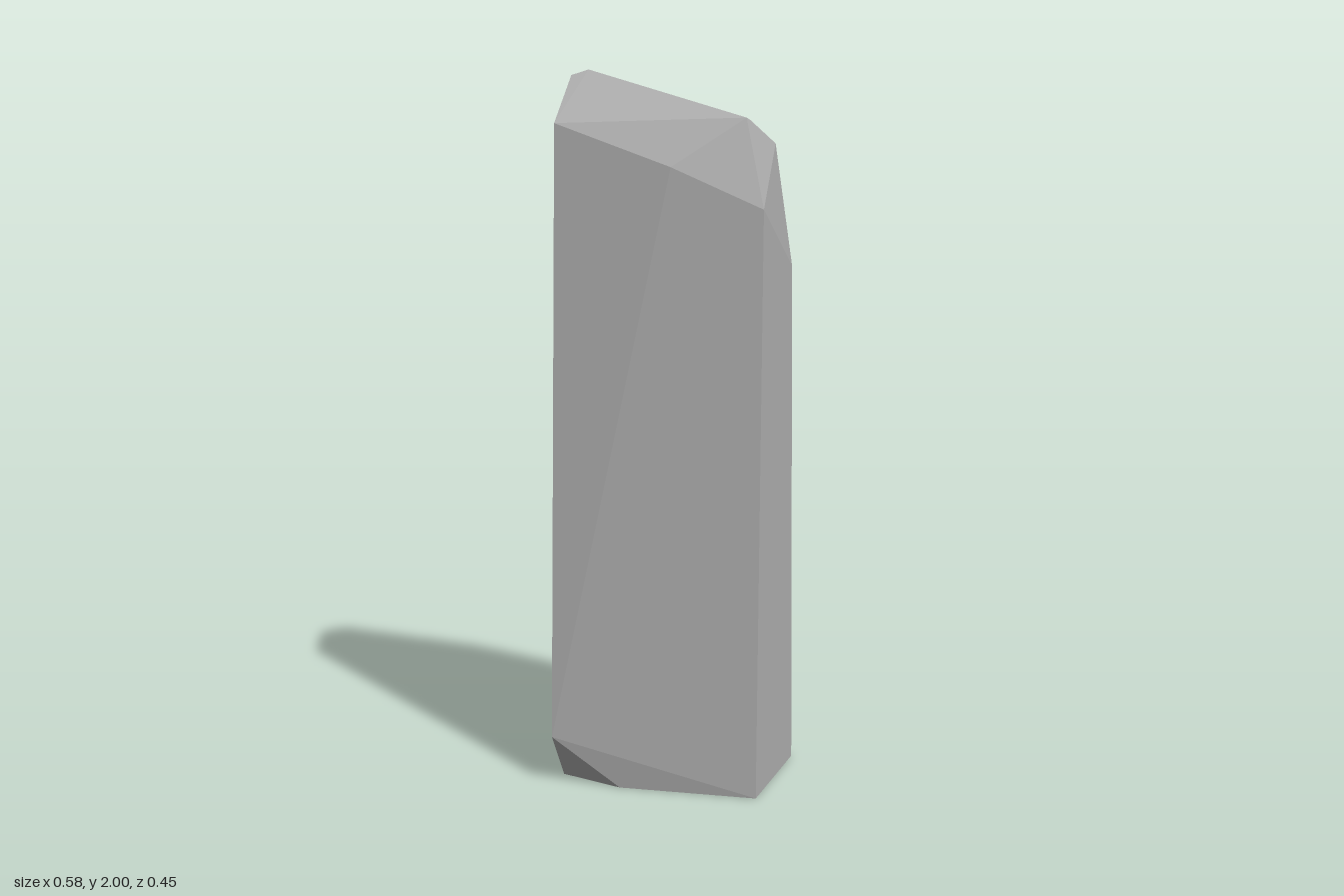
import * as THREE from 'three';
import { ConvexGeometry } from 'three/addons/geometries/ConvexGeometry.js';

export function createModel() {
  const group = new THREE.Group();
  group.name = 'standingStone';

  const stoneGrey = new THREE.MeshStandardMaterial({ color: 0xb0b0b0 });
  stoneGrey.name = 'stone grey';

  const L = -0.29, R = 0.288; // flat side planes of the slab

  const corners = [
    // foot, with a chipped front corner
    [L, 0, -0.22], [R, 0, -0.226], [R, 0, 0.136], [-0.1, 0, 0.184], [L, 0, 0.137],
    [L, 0.14, 0.223],
    // front shoulder
    [L, 1.855, 0.157], [0.04, 1.74, 0.145], [R, 1.63, 0.105],
    // back shoulder
    [L, 1.58, -0.168], [-0.175, 1.487, -0.179], [0.1, 1.418, -0.184], [R, 1.46, -0.175],
    [0.07, 1.735, -0.146], [L, 1.885, -0.121],
    // sloping crest
    [L, 1.985, -0.033], [L, 1.985, 0.033], [-0.245, 2, 0.017],
    [0.22, 1.87, 0.045], [0.26, 1.8, -0.095], [0.19, 1.862, -0.091],
  ].map((p) => new THREE.Vector3(...p));

  const stone = new THREE.Mesh(new ConvexGeometry(corners), stoneGrey);
  stone.name = 'stoneSlab';
  group.add(stone);
  return group;
}
